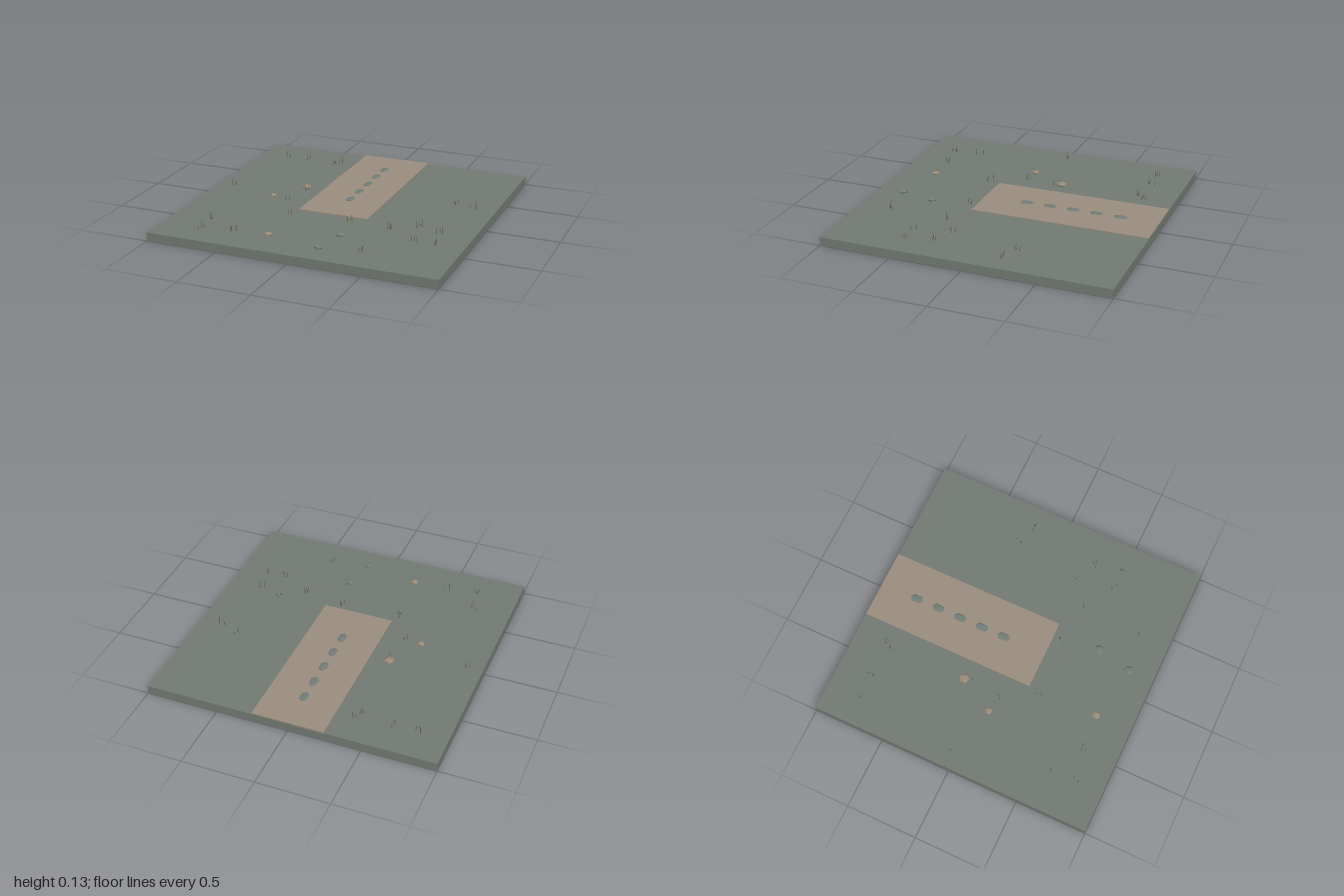
import * as THREE from 'three';

const flat = (name, color) => {
  const m = new THREE.MeshStandardMaterial({ color, flatShading: true });
  m.name = name;
  return m;
};

export function createModel() {
  const model = new THREE.Group();
  model.name = 'gardenPlot';
  const ground = flat('mossy ground', 0x717a72);
  const dirt = flat('dirt path', 0x998d7d);
  const greyStone = flat('grey stone', 0x727c76);
  const tanStone = flat('tan stone', 0x9a8b78);
  const grass = flat('dry grass', 0x666546);

  const add = (parent, name, geometry, material, x, y, z) => {
    const mesh = new THREE.Mesh(geometry, material);
    mesh.name = name;
    mesh.position.set(x, y, z);
    parent.add(mesh);
    return mesh;
  };

  // Ground slab and raised path
  add(model, 'groundSlab', new THREE.BoxGeometry(2, 0.06, 2), ground, 0, 0.03, 0);
  add(model, 'path', new THREE.BoxGeometry(0.5, 0.012, 1.25), dirt, 0, 0.062, -0.375);

  // Faceted stones, sized by their half extents
  const stoneShape = new THREE.IcosahedronGeometry(1 / 0.8507, 0);
  const addStone = (name, material, x, y, z, sx, sy, sz) =>
    add(model, name, stoneShape, material, x, y, z).scale.set(sx, sy, sz);

  // Stepping stones along the path
  for (let i = 0; i < 5; i++) {
    addStone('steppingStone', greyStone, 0, 0.069, -0.73 + i * 0.1675, 0.026, 0.006, 0.046);
  }

  // Loose rocks: x, z, radius, material
  [
    [-0.385, -0.175, 0.034, tanStone],
    [-0.525, 0.075, 0.025, tanStone],
    [-0.245, 0.745, 0.027, tanStone],
    [0.19, 0.575, 0.034, greyStone],
    [0.14, 0.82, 0.031, greyStone],
  ].forEach(([x, z, r, material]) =>
    addStone('rock', material, x, 0.071, z, r * 0.9, r * 0.42, r));

  // Seeded spread for the grass
  let seed = 17;
  const random = () => (seed = (seed * 16807) % 2147483647) / 2147483647;
  const spread = (amount) => (random() * 2 - 1) * amount;

  // Grass tufts of three leaning blades
  const blade = new THREE.ConeGeometry(0.004, 1, 3);
  blade.translate(0, 0.5, 0);
  const tufts = [
    [-0.79, -0.76], [-0.63, -0.77], [-0.37, -0.79], [-0.395, -0.74],
    [0.69, -0.26], [0.84, -0.2], [-0.885, -0.04], [-0.42, 0.1],
    [-0.375, -0.145], [0.62, 0.23], [0.765, 0.28], [-0.28, 0.33],
    [0.14, 0.32], [0.425, 0.34], [0.66, 0.485], [0.82, 0.485],
    [-0.74, 0.61], [-0.495, 0.75], [-0.705, 0.795], [0.405, 0.775],
  ];
  tufts.forEach(([x, z]) => {
    const tuft = new THREE.Group();
    tuft.name = 'grassTuft';
    tuft.position.set(x, 0.058, z);
    for (let i = 0; i < 3; i++) {
      const b = add(tuft, 'grassBlade', blade, grass, spread(0.025), 0, spread(0.025));
      b.scale.y = 0.04 + random() * 0.03;
      b.rotation.set(spread(0.25), spread(Math.PI), spread(0.25));
    }
    model.add(tuft);
  });

  return model;
}
